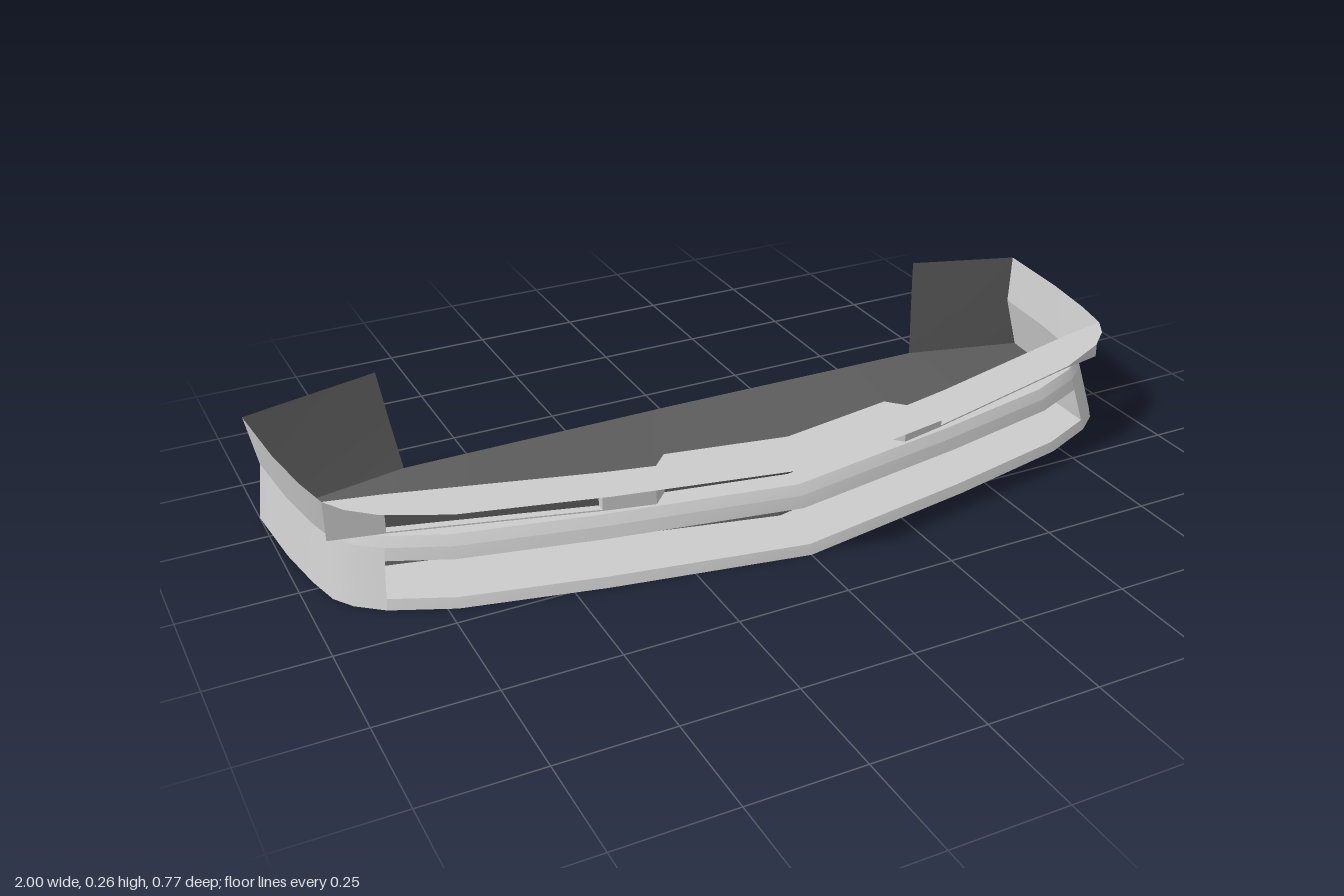
import * as THREE from 'three';
import { toCreasedNormals } from 'three/addons/utils/BufferGeometryUtils.js';

const light = new THREE.MeshStandardMaterial({ color: 0xcccccc, side: THREE.DoubleSide });
const dark = new THREE.MeshStandardMaterial({ color: 0x5c5c5c, side: THREE.DoubleSide });

// half plan of the top rim, centre to rear corner, as [x, z]
const RIM = [[0, 0.385], [0.43, 0.3], [0.73, 0.225], [0.86, 0.16], [0.915, 0.11], [0.945, 0.06],
  [0.965, -0.03], [0.985, -0.17], [1, -0.375]];
const BOTTOM = RIM.map(([x, z]) => [x, z * 0.9]);
const MID = RIM.map(([x, z]) => [x * 0.98, z * 0.865 - 0.033]);
// recessed upper face with a set-back centre, and the back of the lower duct
const PANEL = [[0, 0.235], [0.265, 0.187], [0.3, 0.225], [0.41, 0.2], [0.83, 0.085], [0.945, 0.06]];
const DUCT_TOP = [[0, 0.176], [0.86, -0.025]];
const DUCT_LOW = [[0, 0.205], [0.86, 0.005]];
const OPEN = 3, RECESS = 5; // rim stations where the duct and the recess end
const Y_MID = 0.12, Y_TOP = 0.23, Y_SHELF = 0.14, DUCT_Y0 = 0.022, DUCT_Y1 = 0.095;

const lift = (plan, y) => plan.map(([x, z]) => [x, y, z]);
const back = (plan, d) => plan.map(([x, z]) => [x, z - d]);
const flip = (row) => row.map(([x, y, z]) => [-x, y, z]);
const both = (row) => [...flip(row).reverse(), ...row.slice(1)];

// z of a plan line at a given x
function zAt(plan, x) {
  let i = 1;
  while (i < plan.length - 1 && plan[i][0] < x) i++;
  const [a, b] = [plan[i - 1], plan[i]];
  return a[1] + (b[1] - a[1]) * (x - a[0]) / (b[0] - a[0]);
}

// outer skin of the lower band at any height below the crease
const skin = (y) => BOTTOM.map(([x, z], i) => {
  const t = y / Y_MID;
  return [x + (MID[i][0] - x) * t, y, z + (MID[i][1] - z) * t];
});

// surface lofted through rows of equal length, bottom row first, running toward +x
function loft(name, rows, mat) {
  const n = rows[0].length, index = [];
  for (let r = 0; r < rows.length - 1; r++) for (let i = 0; i < n - 1; i++) {
    const a = r * n + i;
    index.push(a, a + 1, a + n + 1, a, a + n + 1, a + n);
  }
  const g = new THREE.BufferGeometry();
  g.setAttribute('position', new THREE.Float32BufferAttribute(rows.flat(2), 3));
  g.setIndex(index);
  const mesh = new THREE.Mesh(toCreasedNormals(g, 0.37), mat);
  mesh.name = name;
  return mesh;
}

// horizontal sheet between two plan lines, mirrored about the centre
function sheet(name, front, rear, yFront, yRear, xMax) {
  const xs = [...new Set([...front, ...rear].map((p) => p[0]).filter((x) => x < xMax)), xMax];
  xs.sort((a, b) => a - b);
  const row = (plan, y) => both(xs.map((x) => [x, y, zAt(plan, x)]));
  return loft(name, [row(front, yFront), row(rear, yRear)], light);
}

// the same surface on both sides of the car body
function pair(group, name, rows, mat) {
  group.add(loft(name + 'Left', rows, mat));
  group.add(loft(name + 'Right', rows.map((r) => flip(r).reverse()), mat));
}

export function createModel() {
  const g = new THREE.Group();
  g.name = 'bumper';

  // lower band: lips above and below the duct, solid round the corners
  const low = skin(DUCT_Y0), high = skin(DUCT_Y1);
  const cut = (row) => both(row.slice(0, OPEN + 1));
  g.add(loft('lowerLip', [cut(skin(0)), cut(low)], light));
  const edge = back(MID, 0.015);
  g.add(loft('upperLip', [cut(high), cut(skin(Y_MID))], light));
  g.add(loft('shelfLip', [lift(MID, Y_MID), lift(edge, Y_SHELF)]
    .map((r) => both(r.slice(0, RECESS + 1))), light));
  pair(g, 'lowerCorner', [skin(0), low, high, skin(Y_MID)].map((r) => r.slice(OPEN)), light);

  // flared upper sides
  pair(g, 'upperSide', [lift(MID, Y_MID), lift(RIM, Y_TOP)].map((r) => r.slice(RECESS)), light);

  // overhanging rim and shelf enclosing the recess
  g.add(sheet('topRim', RIM, PANEL, Y_TOP, Y_TOP, 0.945));
  g.add(sheet('shelf', edge, back(PANEL, 0.02), Y_SHELF, Y_SHELF, 0.925));

  // recessed face: dark centre, then light frames with lamp pockets
  const wall = (plan, y0, y1) => [lift(plan, y0), lift(plan, y1)];
  g.add(loft('centreGrille', wall(PANEL.slice(0, 2), Y_SHELF, Y_TOP).map(both), dark));
  pair(g, 'lampSurround', wall(PANEL.slice(1, 4), Y_SHELF, Y_TOP), light);
  pair(g, 'cornerSurround', wall(PANEL.slice(4), Y_SHELF, Y_TOP), light);
  const lamp = PANEL.slice(3, 5), lampBack = back(lamp, 0.02), y0 = 0.143, y1 = 0.212;
  pair(g, 'lampSill', wall(lamp, Y_SHELF, y0), light);
  pair(g, 'lampBrow', wall(lamp, y1, Y_TOP), light);
  pair(g, 'lamp', wall(lampBack, y0, y1), dark);
  for (const y of [y0, y1]) pair(g, 'lampEdge', [lift(lamp, y), lift(lampBack, y)], light);
  [0, 1].forEach((i) => pair(g, 'lampEnd', wall([lampBack[i], lamp[i]], y0, y1), light));

  // lower air duct
  const plan = (row) => row.map(([x, , z]) => [x, z]);
  g.add(sheet('ductRoof', plan(high).slice(0, OPEN + 1), DUCT_TOP, DUCT_Y1, 0.09, 0.85));
  g.add(sheet('ductFloor', plan(low).slice(0, OPEN + 1), DUCT_LOW, DUCT_Y0, DUCT_Y0, 0.86));
  g.add(loft('ductBack', [lift(DUCT_LOW, DUCT_Y0), lift(DUCT_TOP, 0.09)].map(both), dark));
  pair(g, 'ductEnd', [
    [lift(DUCT_LOW, DUCT_Y0)[1], low[OPEN]],
    [lift(DUCT_TOP, 0.09)[1], high[OPEN]]], light);

  // floor pan: front and side outline joined to the raised rear edge
  const outline = both(skin(0));
  const rear = [[-1, 0, -0.338], [-0.67, 0.04, -0.34], [0, 0.02, -0.382], [0.67, 0.04, -0.34], [1, 0, -0.338]];
  const rearAt = (x) => {
    let i = 1;
    while (i < 4 && rear[i][0] < x) i++;
    const [a, b] = [rear[i - 1], rear[i]], t = (x - a[0]) / (b[0] - a[0]);
    return [x, a[1] + (b[1] - a[1]) * t, a[2] + (b[2] - a[2]) * t];
  };
  const xs = [...outline.map((p) => p[0]), -0.67, 0.67].sort((a, b) => a - b);
  const front = xs.map((x) => [x, 0, zAt(BOTTOM, Math.abs(x))]);
  g.add(loft('floorPan', [front, xs.map(rearAt)], dark));

  // rear flanges folded inward at both ends
  pair(g, 'rearFlange', [
    [[0.67, 0.04, -0.34], [1, 0, -0.338]],
    [[0.685, 0.15, -0.365], [0.98, Y_MID, -0.357]],
    [[0.7, 0.265, -0.388], [1, Y_TOP, -0.375]]], dark);
  return g;
}
